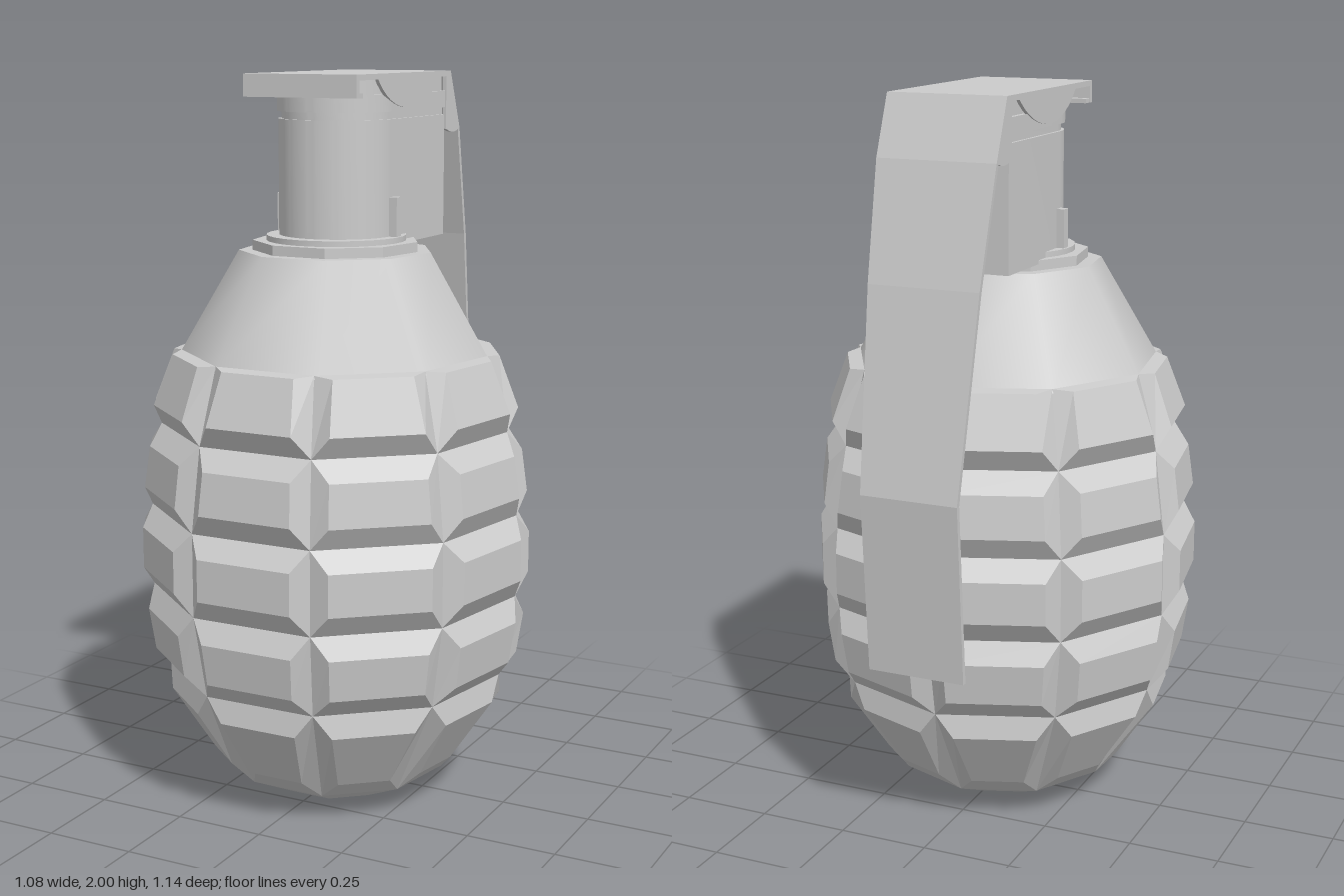
import * as THREE from 'three';
import { toCreasedNormals } from 'three/addons/utils/BufferGeometryUtils.js';

const CZ = 0.048;          // body axis offset in z
const SIDES = 9;
const STEP = (Math.PI * 2) / SIDES;

// point at angle a from the front (+z), turning toward +x
const polar = (r, a, y) => [r * Math.sin(a), y, CZ + r * Math.cos(a)];

function add(group, name, geometry, flat = false, side = THREE.FrontSide) {
  const mesh = new THREE.Mesh(geometry,
    new THREE.MeshStandardMaterial({ color: 0xcccccc, flatShading: flat, side }));
  mesh.name = name;
  group.add(mesh);
  return mesh;
}

// groove nodes between rows of blocks: [y, radius]
const NODES = [[0.07, 0.31], [0.36, 0.472], [0.59, 0.513], [0.82, 0.513], [1.05, 0.483], [1.255, 0.425]];
// raised face of each row: [bottom y, radius, top y, radius]
const BLOCKS = [
  [0.12, 0.352, 0.295, 0.468], [0.415, 0.512, 0.53, 0.53], [0.65, 0.541, 0.765, 0.541],
  [0.88, 0.533, 0.995, 0.517], [1.11, 0.504, 1.25, 0.45],
];

// segmented shell: bevelled blocks separated by grooves
function shellGeometry() {
  const pos = [];
  const quad = (a, b, c, d) => pos.push(...a, ...b, ...c, ...a, ...c, ...d);
  for (let i = 0; i < SIDES; i++) {
    const mid = i * STEP, L = mid - STEP / 2, R = mid + STEP / 2;
    BLOCKS.forEach(([yb, rb, yt, rt], row) => {
      const [y0, r0] = NODES[row], [y1, r1] = NODES[row + 1];
      const hb = STEP / 2 - 0.05 / rb, ht = STEP / 2 - 0.05 / rt;
      const BL = polar(r0, L, y0), BR = polar(r0, R, y0);
      const TL = polar(r1, L, y1), TR = polar(r1, R, y1);
      const bl = polar(rb, mid - hb, yb), br = polar(rb, mid + hb, yb);
      const tl = polar(rt, mid - ht, yt), tr = polar(rt, mid + ht, yt);
      quad(bl, br, tr, tl);
      quad(BL, BR, br, bl);
      quad(tl, tr, TR, TL);
      quad(BL, bl, tl, TL);
      quad(br, BR, TR, tr);
    });
    // faceted base
    const [y0, r0] = NODES[0];
    const a = polar(0.165, L, 0), b = polar(0.165, R, 0);
    quad(a, b, polar(r0, R, y0), polar(r0, L, y0));
    pos.push(0, 0, CZ, ...b, ...a);
  }
  const g = new THREE.BufferGeometry();
  g.setAttribute('position', new THREE.Float32BufferAttribute(pos, 3));
  g.computeVertexNormals();
  return g;
}

// prism whose flat side faces the front
function prism(r0, r1, y0, y1, sides = SIDES, open = false) {
  const g = new THREE.CylinderGeometry(r1, r0, y1 - y0, sides, 1, open);
  g.rotateY(Math.PI / sides);
  g.translate(0, (y0 + y1) / 2, CZ);
  return g;
}

// side profile in (z, y), extruded across x from x0 to x1
function sideExtrude(shape, x0, x1, curveSegments = 16) {
  const g = new THREE.ExtrudeGeometry(shape, { depth: x1 - x0, bevelEnabled: false, curveSegments });
  g.rotateY(-Math.PI / 2);
  g.translate(x1, 0, 0);
  return g;
}

// plan outline with a round front and square back, extruded from y0 to y1
function neckGeometry(r, back, y0, y1) {
  const s = new THREE.Shape();
  s.moveTo(r, back);
  s.lineTo(r, CZ - 0.01);
  s.absarc(0, CZ - 0.01, r, 0, Math.PI, false);
  s.lineTo(-r, back);
  s.closePath();
  const g = new THREE.ExtrudeGeometry(s, { depth: y1 - y0, bevelEnabled: false, curveSegments: 28 });
  g.rotateX(Math.PI / 2);
  g.translate(0, y1, 0);
  return toCreasedNormals(g, 0.5);
}

// bent strip with a front lip, narrowing downward
function leverGeometry() {
  const outer = [[0.255, 1.94], [0.255, 2], [-0.325, 2], [-0.39, 1.84], [-0.47, 1.53], [-0.569, 1], [-0.537, 0.51]];
  const inner = [[-0.523, 0.51], [-0.555, 1], [-0.457, 1.53], [-0.377, 1.84], [-0.318, 1.985], [0.24, 1.985], [0.24, 1.94]];
  const g = sideExtrude(new THREE.Shape([...outer, ...inner].map(p => new THREE.Vector2(...p))), -1, 1);
  const p = g.attributes.position;
  for (let i = 0; i < p.count; i++) {
    const t = THREE.MathUtils.clamp((p.getY(i) - 1) / 0.84, 0, 1);
    p.setX(i, p.getX(i) * (0.137 + 0.03 * t));
  }
  g.computeVertexNormals();
  return g;
}

export function createModel() {
  const model = new THREE.Group();
  model.name = 'grenade';

  // body
  const body = new THREE.Group();
  body.name = 'body';
  model.add(body);
  add(body, 'segmentedShell', shellGeometry(), true);
  add(body, 'shoulder', prism(0.43, 0.265, 1.245, 1.528, SIDES, true));
  add(body, 'shoulderCap', prism(0.265, 0.265, 1.524, 1.528), true);

  // collar and neck
  const neck = new THREE.Group();
  neck.name = 'fuseHead';
  model.add(neck);
  add(neck, 'collar', prism(0.228, 0.228, 1.525, 1.555), true);
  add(neck, 'neckRing', toCreasedNormals(prism(0.19, 0.19, 1.55, 1.57, 28), 0.5));
  add(neck, 'neck', neckGeometry(0.16, -0.3, 1.545, 1.88));
  add(neck, 'neckGroove', neckGeometry(0.152, -0.3, 1.88, 1.9));
  add(neck, 'headCap', neckGeometry(0.163, -0.3, 1.9, 1.945));
  add(neck, 'headTop', neckGeometry(0.15, -0.3, 1.945, 1.99));

  // lever
  const lever = new THREE.Group();
  lever.name = 'lever';
  model.add(lever);
  add(lever, 'leverStrip', leverGeometry(), true, THREE.DoubleSide);
  const lip = new THREE.BoxGeometry(0.33, 0.012, 0.035);
  lip.translate(0, 1.946, 0.232);
  add(lever, 'frontLip', lip, true);

  // curved flange hanging from the top plate
  const flange = new THREE.Shape();
  flange.moveTo(0.14, 1.995);
  flange.bezierCurveTo(0.05, 1.88, -0.14, 1.88, -0.26, 1.995);
  flange.closePath();
  // cheek on the bend
  const cheek = new THREE.Shape();
  cheek.moveTo(-0.295, 1.995);
  cheek.lineTo(-0.32, 1.995);
  cheek.lineTo(-0.385, 1.84);
  cheek.quadraticCurveTo(-0.35, 1.82, -0.297, 1.84);
  cheek.closePath();

  for (const s of [1, -1]) {
    const x0 = s > 0 ? 0.157 : -0.167;
    add(lever, 'sideFlange', sideExtrude(flange, x0, x0 + 0.01));
    add(lever, 'bendCheek', sideExtrude(cheek, x0, x0 + 0.01));
    const tab = new THREE.BoxGeometry(0.03, 0.13, 0.028);
    tab.translate(s * 0.167, 1.61, 0.035);
    add(neck, 'sideTab', tab, true);
  }
  return model;
}
